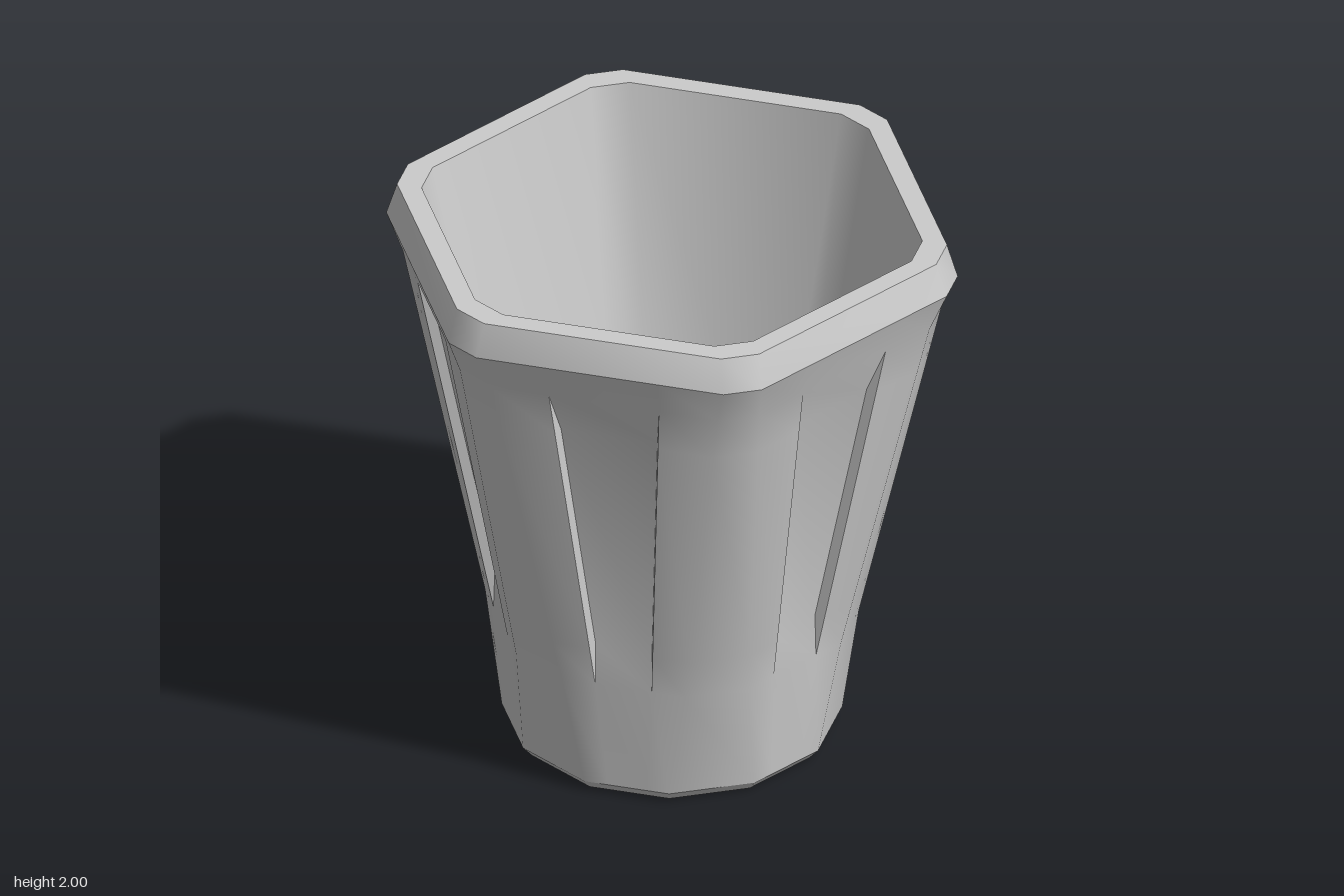
import * as THREE from 'three';
import { toCreasedNormals } from 'three/addons/utils/BufferGeometryUtils.js';

const DEG = Math.PI / 180;
const TURN = 8.4; // the hexagon is turned slightly about y
const material = new THREE.MeshStandardMaterial({ color: 0xcccccc });

// Ring of six flat sides with cut corners: r is the corner radius and
// cut the half angle of each cut; a is the side distance, half its half width.
function ring(y, r, cut) {
  return { y, a: r * Math.cos((30 - cut) * DEG), half: r * Math.sin((30 - cut) * DEG) };
}

function mix(p, q, y) {
  const k = (y - p.y) / (q.y - p.y);
  return { y, a: p.a + (q.a - p.a) * k, half: p.half + (q.half - p.half) * k };
}

// Point on side i: u along the side, sunk inwards by depth.
function at(i, row, u, depth = 0) {
  const t = (TURN + 30 + 60 * i) * DEG;
  const a = row.a - depth;
  return [a * Math.cos(t) - u * Math.sin(t), row.y, a * Math.sin(t) + u * Math.cos(t)];
}

function makeMesh(name, build) {
  const pos = [];
  const tri = (...pts) => pts.forEach((p) => pos.push(...p));
  const quad = (a, b, c, d) => { tri(a, b, c); tri(a, c, d); };
  for (let i = 0; i < 6; i++) build(i, tri, quad);
  const geo = new THREE.BufferGeometry();
  geo.setAttribute('position', new THREE.Float32BufferAttribute(pos, 3));
  const mesh = new THREE.Mesh(toCreasedNormals(geo, 34 * DEG), material);
  mesh.name = name;
  return mesh;
}

// One side plus the cut corner after it, between two rings.
function cornerBand(i, quad, lo, hi) {
  quad(at(i, lo, lo.half), at(i, hi, hi.half), at(i + 1, hi, -hi.half), at(i + 1, lo, -lo.half));
}
function band(i, quad, lo, hi) {
  quad(at(i, lo, -lo.half), at(i, hi, -hi.half), at(i, hi, hi.half), at(i, lo, lo.half));
  cornerBand(i, quad, lo, hi);
}

// Flat or conical cap closing a ring at a centre point.
function cap(i, tri, row, centreY, up) {
  const c = [0, centreY, 0];
  const l = at(i, row, -row.half), r = at(i, row, row.half), n = at(i + 1, row, -row.half);
  if (up) { tri(c, r, l); tri(c, n, r); } else { tri(c, l, r); tri(c, r, n); }
}

export function createModel() {
  const cup = new THREE.Group();
  cup.name = 'hexagonalCup';

  const foot = ring(0, 0.545, 15);
  const base = ring(0.04, 0.58, 15);
  const low = ring(0.46, 0.64, 10);
  const high = ring(1.74, 0.935, 4.5);
  const lip = ring(1.88, 0.995, 3.9);
  const rimOuter = ring(2, 0.957, 4);
  const rimInner = ring(2, 0.87, 4.5);
  const floor = ring(0.5, 0.555, 7);

  // Outer wall with a tapered sunken panel in each side
  const rows = [base, low, mix(low, high, 0.62), mix(low, high, 1.57), high, lip];
  const panelHalf = (y) => 0.1 + (0.095 * (y - 0.46)) / 1.28;
  const sunk = (j) => j === 2 || j === 3;
  cup.add(makeMesh('outerWall', (i, tri, quad) => {
    for (let j = 0; j < rows.length - 1; j++) {
      const lo = rows[j], hi = rows[j + 1];
      const pl = panelHalf(lo.y), ph = panelHalf(hi.y);
      cornerBand(i, quad, lo, hi);
      // wall beside the panel
      quad(at(i, lo, -lo.half), at(i, hi, -hi.half), at(i, hi, -ph), at(i, lo, -pl));
      quad(at(i, lo, pl), at(i, hi, ph), at(i, hi, hi.half), at(i, lo, lo.half));
      // panel floor, ramps and plain wall above and below
      const [fl, dl] = sunk(j) ? [pl - 0.012, 0.035] : [pl, 0];
      const [fh, dh] = sunk(j + 1) ? [ph - 0.012, 0.035] : [ph, 0];
      quad(at(i, lo, -fl, dl), at(i, hi, -fh, dh), at(i, hi, fh, dh), at(i, lo, fl, dl));
      // panel side walls
      if (sunk(j) && sunk(j + 1)) {
        quad(at(i, lo, -pl), at(i, hi, -ph), at(i, hi, -fh, dh), at(i, lo, -fl, dl));
        quad(at(i, lo, fl, dl), at(i, hi, fh, dh), at(i, hi, ph), at(i, lo, pl));
      } else if (sunk(j + 1)) {
        tri(at(i, lo, -pl), at(i, hi, -ph), at(i, hi, -fh, dh));
        tri(at(i, lo, pl), at(i, hi, fh, dh), at(i, hi, ph));
      } else if (sunk(j)) {
        tri(at(i, lo, -pl), at(i, hi, -ph), at(i, lo, -fl, dl));
        tri(at(i, lo, fl, dl), at(i, hi, ph), at(i, lo, pl));
      }
    }
  }));

  // Bevelled rim and its flat top
  cup.add(makeMesh('rim', (i, tri, quad) => {
    band(i, quad, lip, rimOuter);
    band(i, quad, rimOuter, rimInner);
  }));

  // Inside wall and floor
  cup.add(makeMesh('inside', (i, tri, quad) => {
    band(i, quad, rimInner, floor);
    cap(i, tri, floor, floor.y, true);
  }));

  // Bevelled foot with a slightly hollow underside
  cup.add(makeMesh('foot', (i, tri, quad) => {
    band(i, quad, foot, base);
    cap(i, tri, foot, 0.03, false);
  }));

  return cup;
}
